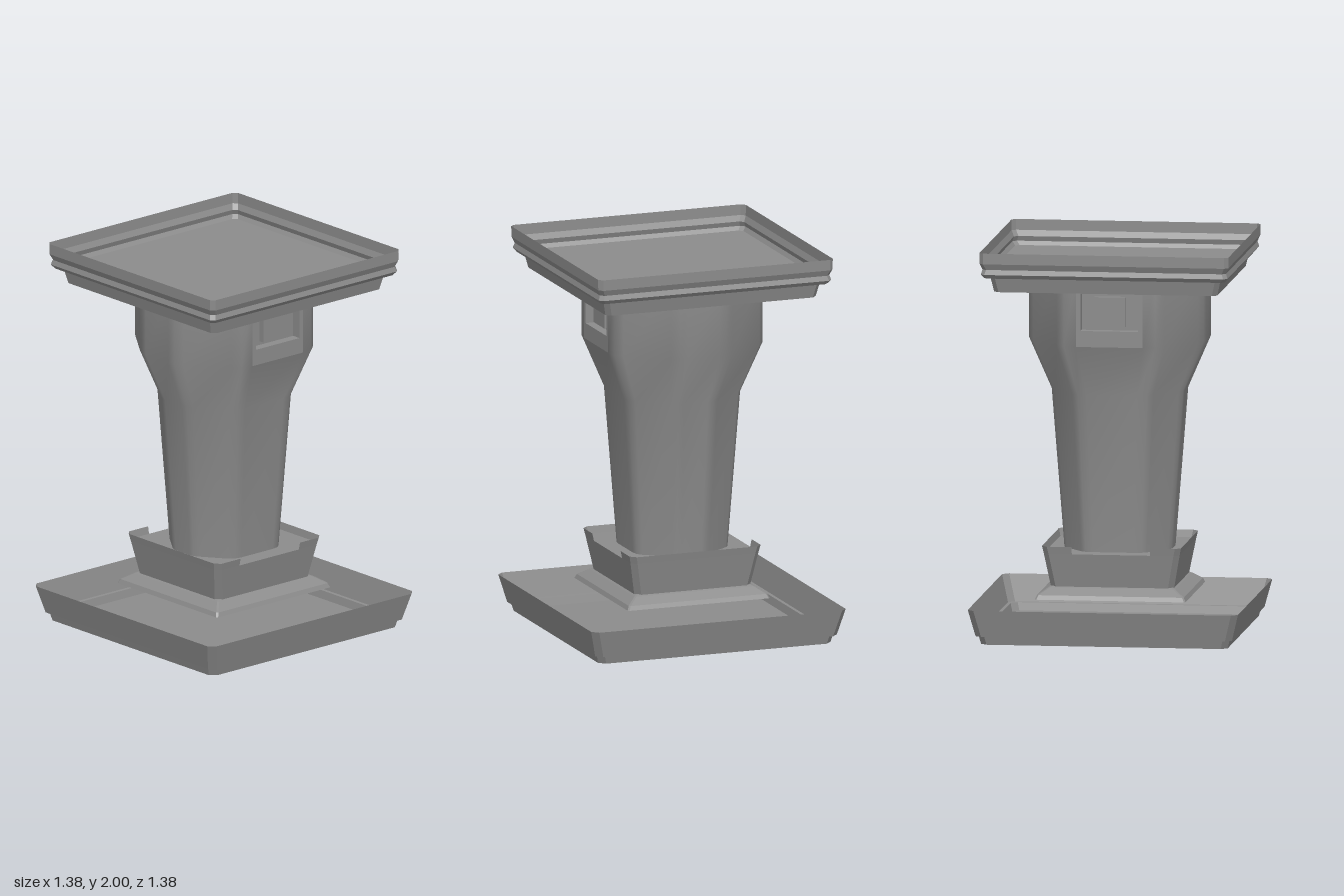
import * as THREE from 'three';

const grey = new THREE.MeshStandardMaterial({ color: 0x8c8c8c, side: THREE.DoubleSide });
grey.name = 'stone grey';

// Skin between rings of [x, z] points at rising heights; skip(level, j) leaves a gap
function loft(levels, { smooth = false, bottom = false, top = false, skip = () => false } = {}) {
  const n = levels[0].pts.length, pos = [], index = [];
  levels.forEach(({ y, pts }) => pts.forEach(([x, z]) => pos.push(x, y, z)));
  for (let i = 0; i < levels.length - 1; i++) {
    for (let j = 0; j < n; j++) {
      if (skip(i, j)) continue;
      const a = i * n + j, b = i * n + (j + 1) % n;
      index.push(a, a + n, b, b, a + n, b + n);
    }
  }
  const cap = (i, up) => {
    const c = pos.length / 3;
    pos.push(0, levels[i].y, 0);
    for (let j = 0; j < n; j++) {
      const a = i * n + j, b = i * n + (j + 1) % n;
      index.push(c, up ? b : a, up ? a : b);
    }
  };
  if (bottom) cap(0, false);
  if (top) cap(levels.length - 1, true);
  let geo = new THREE.BufferGeometry();
  geo.setAttribute('position', new THREE.Float32BufferAttribute(pos, 3));
  geo.setIndex(index);
  if (!smooth) geo = geo.toNonIndexed();
  geo.computeVertexNormals();
  return geo;
}

// Square ring with chamfered corners; n adds notch points on the two x sides
function square(h, c, n = 0) {
  const k = h - c, side = n ? [[h, -k], [h, -n], [h, n], [h, k]] : [[h, -k], [h, k]];
  const half = [...side, [k, h], [-k, h]];
  return [...half, ...half.map(([x, z]) => [-x, -z])];
}
const squares = (profile, c, n) => profile.map(([y, h]) => ({ y, pts: square(h, c, n) }));

// Octagonal column ring with softened corners
function octagon(hx, hz) {
  const corners = [[1, -0.54], [1, 0.54], [0.3, 1], [-0.3, 1], [-1, 0.54], [-1, -0.54], [-0.3, -1], [0.3, -1]]
    .map(([x, z]) => new THREE.Vector2(x * hx, z * hz));
  return corners.flatMap((p, i) => {
    const a = p.clone().lerp(corners[(i + 7) % 8], 0.15);
    const b = p.clone().lerp(corners[(i + 1) % 8], 0.15);
    return new THREE.QuadraticBezierCurve(a, p, b).getPoints(2).map(v => [v.x, v.y]);
  });
}

function rect(path, w, y0, y1) {
  path.moveTo(-w, y0);
  path.lineTo(w, y0);
  path.lineTo(w, y1);
  path.lineTo(-w, y1);
  path.closePath();
  return path;
}

export function createModel() {
  const model = new THREE.Group();
  model.name = 'pedestal';
  const add = (name, geo, parent = model) => {
    const mesh = new THREE.Mesh(geo, grey);
    mesh.name = name;
    parent.add(mesh);
    return mesh;
  };

  // Base tray, an open shell with a small ledge above the floor
  add('baseTray', loft(squares([[0, 0.63], [0.04, 0.64], [0.042, 0.655], [0.18, 0.69]], 0.032), { bottom: true }));

  // Flared foot of the column
  add('foot', loft(squares([[0.2, 0.385], [0.222, 0.375], [0.255, 0.325], [0.262, 0.31]], 0.008), { bottom: true, top: true }));

  // Tapered plinth with a floor and a notched lip
  add('plinth', loft(squares([[0.26, 0.315], [0.43, 0.347]], 0.028), { bottom: true, top: true }));
  add('plinthLip', loft(squares([[0.43, 0.347], [0.468, 0.355]], 0.028, 0.2), { skip: (i, j) => j === 1 || j === 7 }));

  // Column, with openings left for the hatch panels
  const levels = [[0.42, 0.252, 0.276], [1.24, 0.31, 0.34], [1.5, 0.412, 0.452], [1.87, 0.412, 0.452]]
    .map(([y, hx, hz]) => ({ y, pts: octagon(hx, hz) }));
  add('column', loft(levels, { smooth: true, skip: (i, j) => i === 2 && (j === 2 || j === 14) }));

  // Recessed hatches on both x sides
  const faceHalf = levels[3].pts[3][1];
  for (const [name, turn] of [['leftHatch', 0], ['rightHatch', Math.PI]]) {
    const hatch = new THREE.Group();
    hatch.name = name;
    hatch.rotation.y = turn;
    const panel = rect(new THREE.Shape(), Math.abs(faceHalf), 1.5, 1.87);
    panel.holes.push(rect(new THREE.Path(), 0.147, 1.582, 1.775));
    const frame = new THREE.ExtrudeGeometry(panel, { depth: 0.05, bevelEnabled: false });
    add('hatchFrame', frame.rotateY(Math.PI / 2).translate(0.362, 0, 0), hatch);
    add('hatchBack', new THREE.BoxGeometry(0.01, 0.22, 0.31).translate(0.358, 1.678, 0), hatch);
    add('hatchButton', new THREE.BoxGeometry(0.035, 0.152, 0.16).translate(0.378, 1.678, 0), hatch);
    model.add(hatch);
  }

  // Top tray: floor with a moulded rim above and a skirt below
  add('topTray', loft(squares([[1.87, 0.615], [1.89, 0.63], [1.915, 0.622], [1.945, 0.635], [2, 0.636]], 0.02), { bottom: true }));
  add('topSkirt', loft(squares([[1.795, 0.57], [1.87, 0.587]], 0.025)));
  return model;
}
